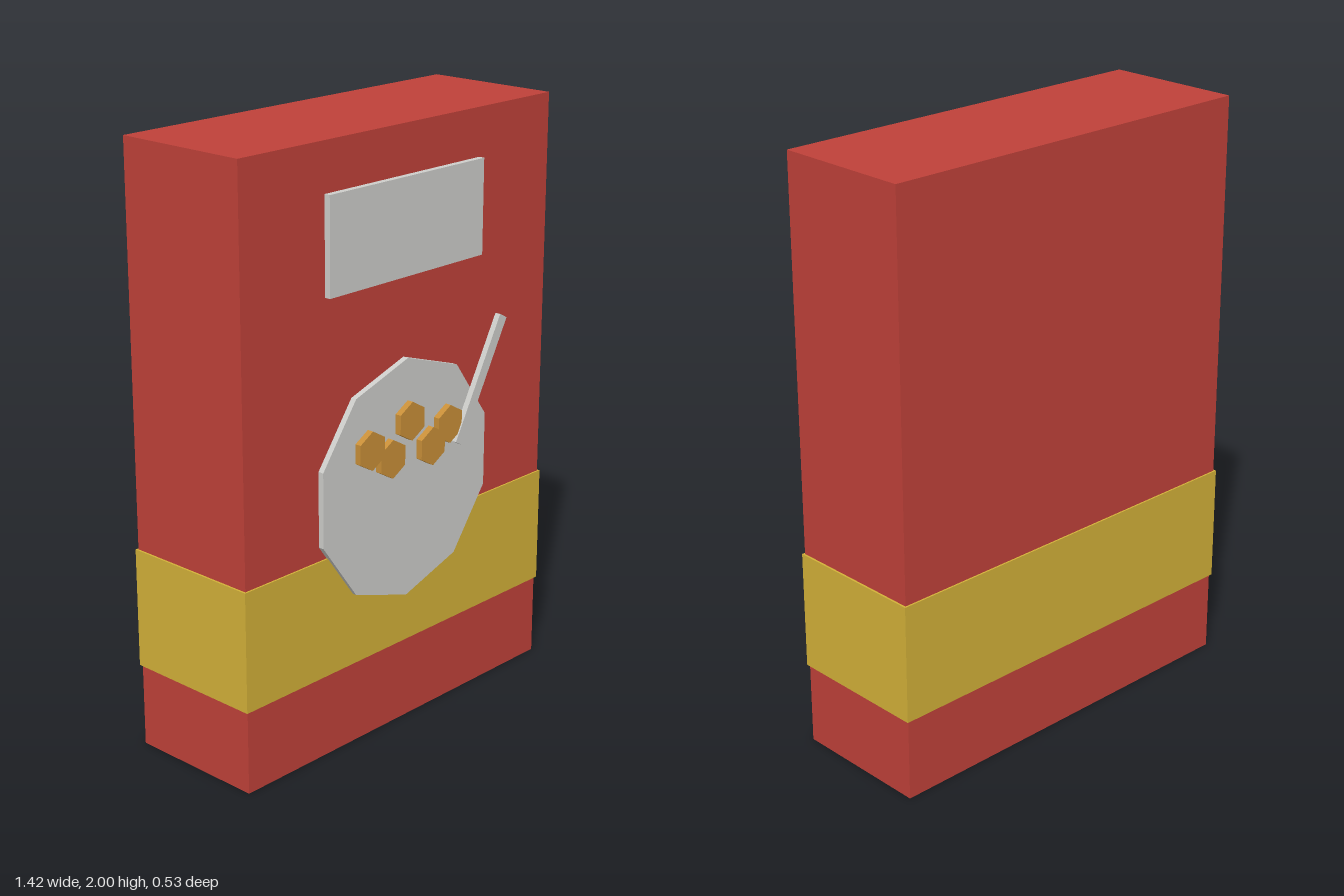
import * as THREE from 'three';

const paint = (name, color) => {
  const m = new THREE.MeshStandardMaterial({ color });
  m.name = name;
  return m;
};

export function createModel() {
  const red = paint('red card', 0xbf4139);
  const gold = paint('gold band', 0xd2b038);
  const pale = paint('pale grey', 0xcdcdca);
  const toasted = paint('toasted cereal', 0xc88f38);

  const model = new THREE.Group();
  model.name = 'cerealBox';

  const add = (name, geometry, material, x, y, z) => {
    const mesh = new THREE.Mesh(geometry, material);
    mesh.name = name;
    mesh.position.set(x, y, z);
    model.add(mesh);
    return mesh;
  };

  // Flat polygon standing upright, one corner pointing up, facing +z
  const disc = (radius, depth, sides) =>
    new THREE.CylinderGeometry(radius, radius, depth, sides)
      .toNonIndexed()
      .rotateX(-Math.PI / 2);
  const flat = (geometry) => {
    geometry.computeVertexNormals();
    return geometry;
  };

  // Carton and the band wrapped around it
  add('carton', new THREE.BoxGeometry(1.406, 2, 0.482), red, 0, 1, -0.021);
  add('band', new THREE.BoxGeometry(1.42, 0.402, 0.494), gold, 0, 0.482, -0.021);

  // Raised title panel and bowl on the front
  add('titlePanel', new THREE.BoxGeometry(0.706, 0.315, 0.022), pale, 0, 1.683, 0.23);
  add('bowl', flat(disc(0.405, 0.022, 10)), pale, 0, 0.855, 0.229);

  // Cereal pieces
  const piece = flat(disc(0.065, 0.024, 6));
  const spots = [[0, 1.055], [-0.185, 1.004], [-0.09, 0.951], [0.102, 0.944], [0.185, 0.998]];
  spots.forEach(([x, y], i) => add(`cerealPiece${i + 1}`, piece, toasted, x, y, 0.25));

  // Spoon handle leaning out of the bowl
  const spoon = add('spoon', new THREE.BoxGeometry(0.038, 0.442, 0.02), pale, 0.331, 1.115, 0.257);
  spoon.rotation.z = -0.5;

  return model;
}
